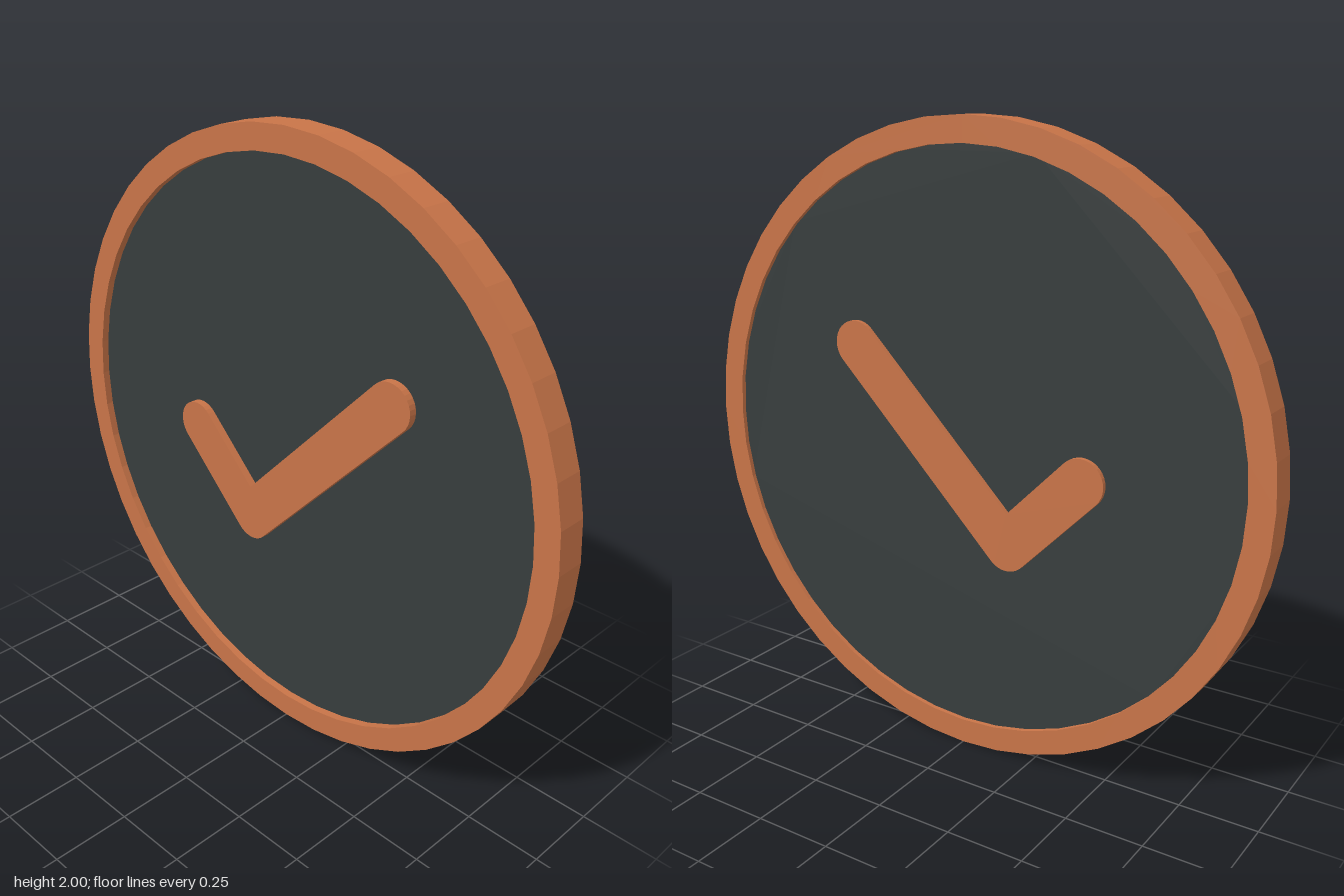
import * as THREE from 'three';

const copper = new THREE.MeshStandardMaterial({ color: 0xc87448 });
copper.name = 'copper';
const charcoal = new THREE.MeshStandardMaterial({ color: 0x373d3d });
charcoal.name = 'charcoal';

// Extrude a flat shape between two depths
function slab(name, shape, back, front, material, curveSegments) {
  const geometry = new THREE.ExtrudeGeometry(shape, {
    depth: front - back, bevelEnabled: false, curveSegments,
  });
  geometry.translate(0, 0, back);
  const mesh = new THREE.Mesh(geometry, material);
  mesh.name = name;
  return mesh;
}

function circle(radius, PathType = THREE.Shape) {
  return new PathType().absarc(0, 1, radius, 0, Math.PI * 2, false);
}

// Tick outline: two strokes at 45 degrees, round ends and a round outer corner
function tickShape() {
  const r = 0.077, q = Math.PI / 4;
  const shape = new THREE.Shape();
  shape.absarc(-0.41, 0.967, r, q, 5 * q, false);
  shape.absarc(-0.16, 0.717, r, 5 * q, 7 * q, false);
  shape.absarc(0.41, 1.287, r, -q, 3 * q, false);
  shape.lineTo(-0.16, 0.717 + r * Math.SQRT2);
  shape.closePath();
  return shape;
}

export function createModel() {
  const group = new THREE.Group();
  group.name = 'tickBadge';

  // Raised rim with 48 flat sides
  const rim = circle(1);
  rim.holes.push(circle(0.92, THREE.Path));
  group.add(slab('rim', rim, -0.05, 0.05, copper, 24));

  // Recessed disc, tucked just under the rim
  group.add(slab('disc', circle(0.93), -0.035, 0.025, charcoal, 24));

  // Tick runs through the disc and stands proud on both faces
  group.add(slab('tick', tickShape(), -0.05, 0.05, copper, 8));

  return group;
}
